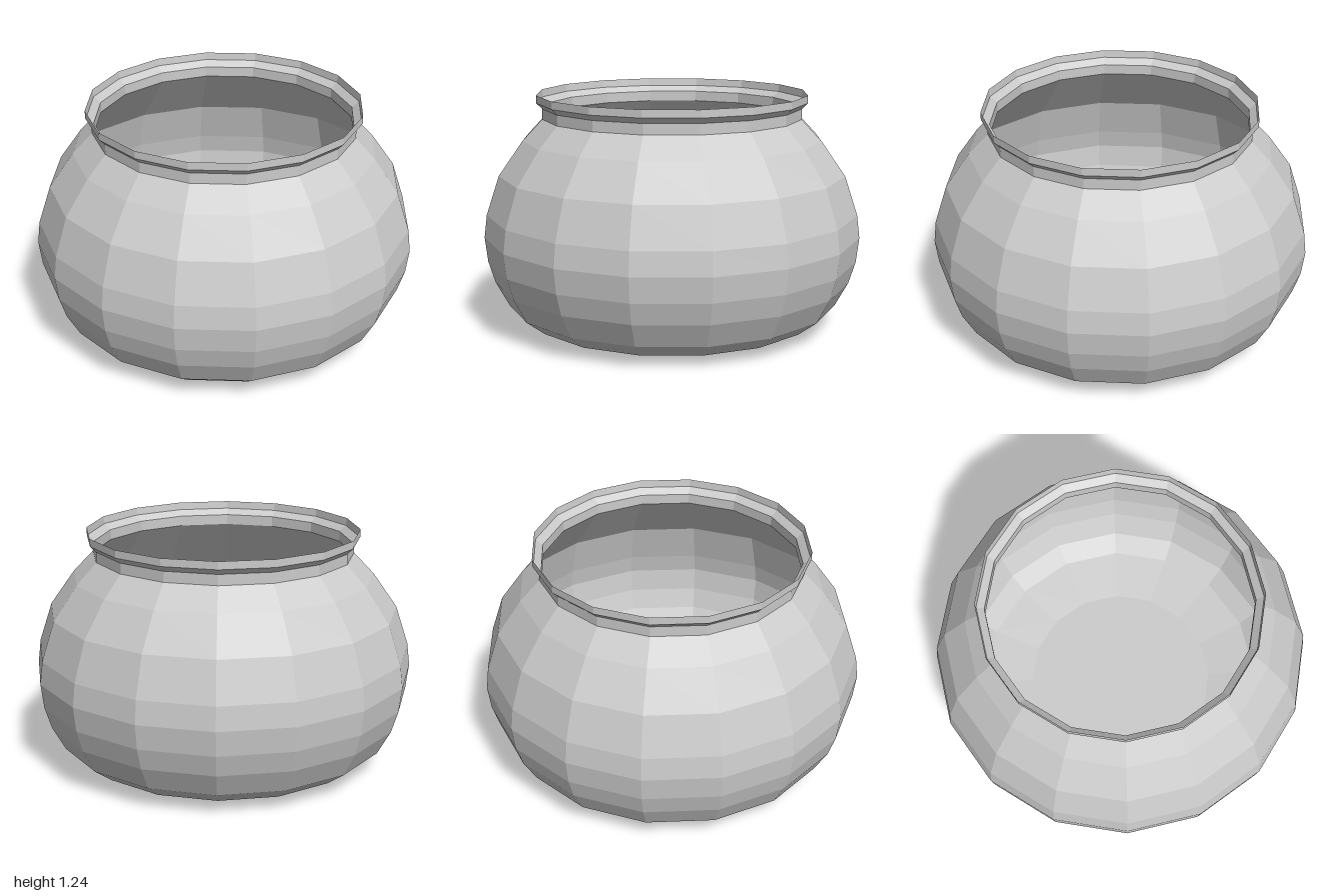
import * as THREE from 'three';

const SIDES = 16;

// Faceted surface of revolution from [radius, height] pairs
function lathe(name, profile, material) {
  const points = profile.map(([r, y]) => new THREE.Vector2(r, y));
  const mesh = new THREE.Mesh(new THREE.LatheGeometry(points, SIDES), material);
  mesh.name = name;
  return mesh;
}

export function createModel() {
  const group = new THREE.Group();
  group.name = 'pot';
  const material = new THREE.MeshStandardMaterial({
    color: 0xcccccc, flatShading: true, side: THREE.DoubleSide,
  });

  // Base, rounded belly, shoulder, straight neck and upright lip, bottom to top
  group.add(lathe('outerShell', [
    [0, 0], [0.515, 0], [0.78, 0.044], [0.88, 0.12], [0.95, 0.25],
    [0.985, 0.365], [1, 0.495], [0.985, 0.615], [0.917, 0.82], [0.79, 1.0],
    [0.685, 1.11], [0.685, 1.165], [0.715, 1.195], [0.715, 1.235],
  ], material));

  // Thin lining just inside the shell, from the lip down to the floor
  group.add(lathe('innerLining', [
    [0.715, 1.235], [0.71, 1.195], [0.673, 1.165], [0.673, 1.11], [0.912, 0.818],
    [0.972, 0.6], [0.99, 0.495], [0.975, 0.368], [0.94, 0.255], [0.872, 0.128],
    [0.775, 0.054], [0.515, 0.01], [0, 0.01],
  ], material));
  return group;
}
